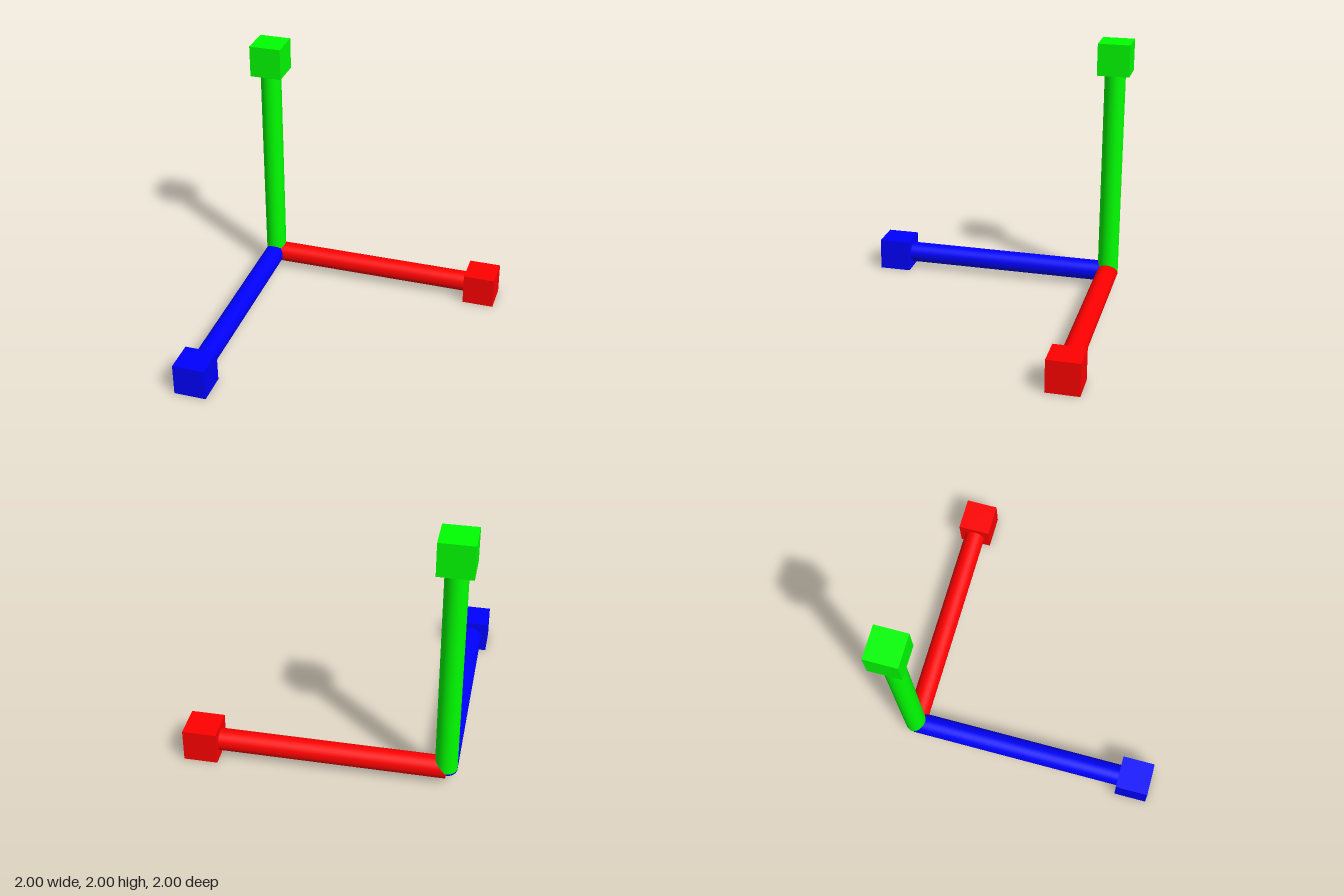
import * as THREE from 'three';

const CUBE = 0.245;             // edge of each end cube
const RADIUS = 0.08;            // rod radius
const LENGTH = 2 - CUBE;        // joint to cube centre

// One arm pointing up from the joint: a rod capped by a cube
function makeArm(name, color) {
  const material = new THREE.MeshStandardMaterial({ color });
  const arm = new THREE.Group();
  arm.name = name + 'Arm';

  const rod = new THREE.Mesh(new THREE.CylinderGeometry(RADIUS, RADIUS, LENGTH, 32), material);
  rod.name = name + 'Rod';
  rod.position.y = LENGTH / 2;

  const cube = new THREE.Mesh(new THREE.BoxGeometry(CUBE, CUBE, CUBE), material);
  cube.name = name + 'EndCube';
  cube.position.y = LENGTH;

  arm.add(rod, cube);
  return arm;
}

export function createModel() {
  const model = new THREE.Group();
  model.name = 'axisGizmo';

  // Three arms share a joint at the back right bottom corner
  const xArm = makeArm('x', 0xff0000);
  xArm.rotation.z = -Math.PI / 2;
  const yArm = makeArm('y', 0x00ff00);
  const zArm = makeArm('z', 0x0000ff);
  zArm.rotation.x = Math.PI / 2;

  for (const arm of [xArm, yArm, zArm]) {
    arm.position.set(-1 + CUBE / 2, CUBE / 2, -1 + CUBE / 2);
    model.add(arm);
  }
  return model;
}
